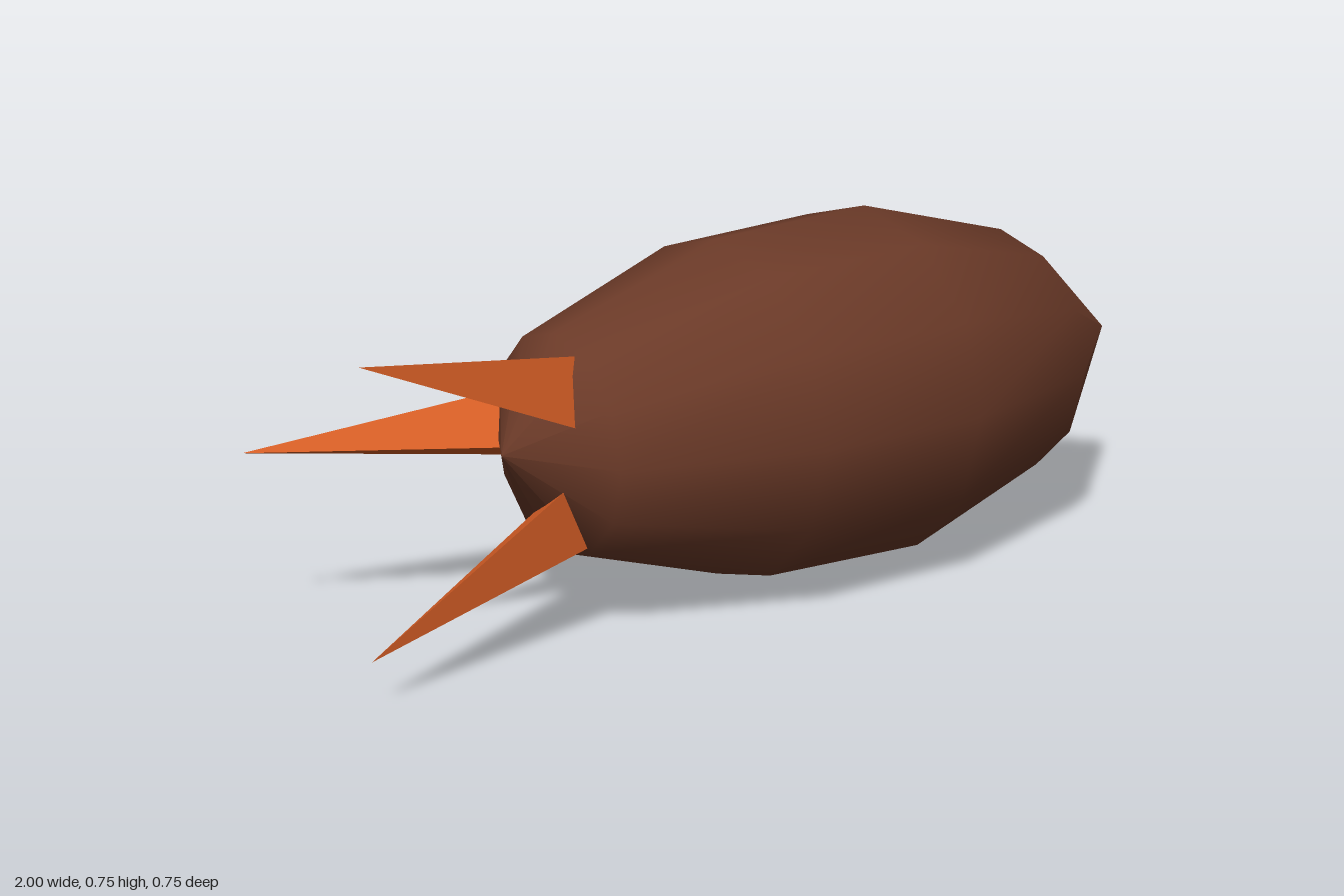
import * as THREE from 'three';

const CENTER_Y = 0.375;

export function createModel() {
  const brown = new THREE.MeshStandardMaterial({ color: 0x6b3a28 });
  brown.name = 'brown shell';
  const orange = new THREE.MeshStandardMaterial({ color: 0xd45d25 });
  orange.name = 'orange fin';

  const model = new THREE.Group();
  model.name = 'pod';

  // Body: twelve-sided smooth spindle lying along x, pointed nose at +x
  const profile = [
    [0, -0.615], [0.223, -0.49], [0.355, -0.1],
    [0.373, 0.285], [0.27, 0.675], [0, 1],
  ].map(([r, x]) => new THREE.Vector2(r, x));
  const bodyGeometry = new THREE.LatheGeometry(profile, 12).rotateZ(-Math.PI / 2);
  const body = new THREE.Mesh(bodyGeometry, brown);
  body.name = 'body';
  body.position.y = CENTER_Y;
  model.add(body);

  // Tail fins: three-sided spikes splayed outward, 120 degrees apart
  const length = 0.55;
  const addFin = (name, degrees, twist) => {
    const a = THREE.MathUtils.degToRad(degrees);
    const up = Math.sin(a), out = Math.cos(a);
    // Tip at the origin pointing to -x, then slanted toward the body axis
    const geometry = new THREE.ConeGeometry(0.093, length, 3)
      .translate(0, -length / 2, 0)
      .rotateZ(Math.PI / 2)
      .rotateX(THREE.MathUtils.degToRad(twist))
      .applyMatrix4(new THREE.Matrix4().set(
        1, 0, 0, 0,
        -0.38 * up, 1, 0, 0,
        -0.38 * out, 0, 1, 0,
        0, 0, 0, 1))
      .toNonIndexed();
    geometry.computeVertexNormals();
    const fin = new THREE.Mesh(geometry, orange);
    fin.name = name;
    fin.position.set(-1, CENTER_Y + 0.32 * up, 0.32 * out);
    model.add(fin);
  };
  addFin('upperFin', 60, 40);
  addFin('rearFin', 180, 10);
  addFin('lowerFin', -60, 57);

  return model;
}
